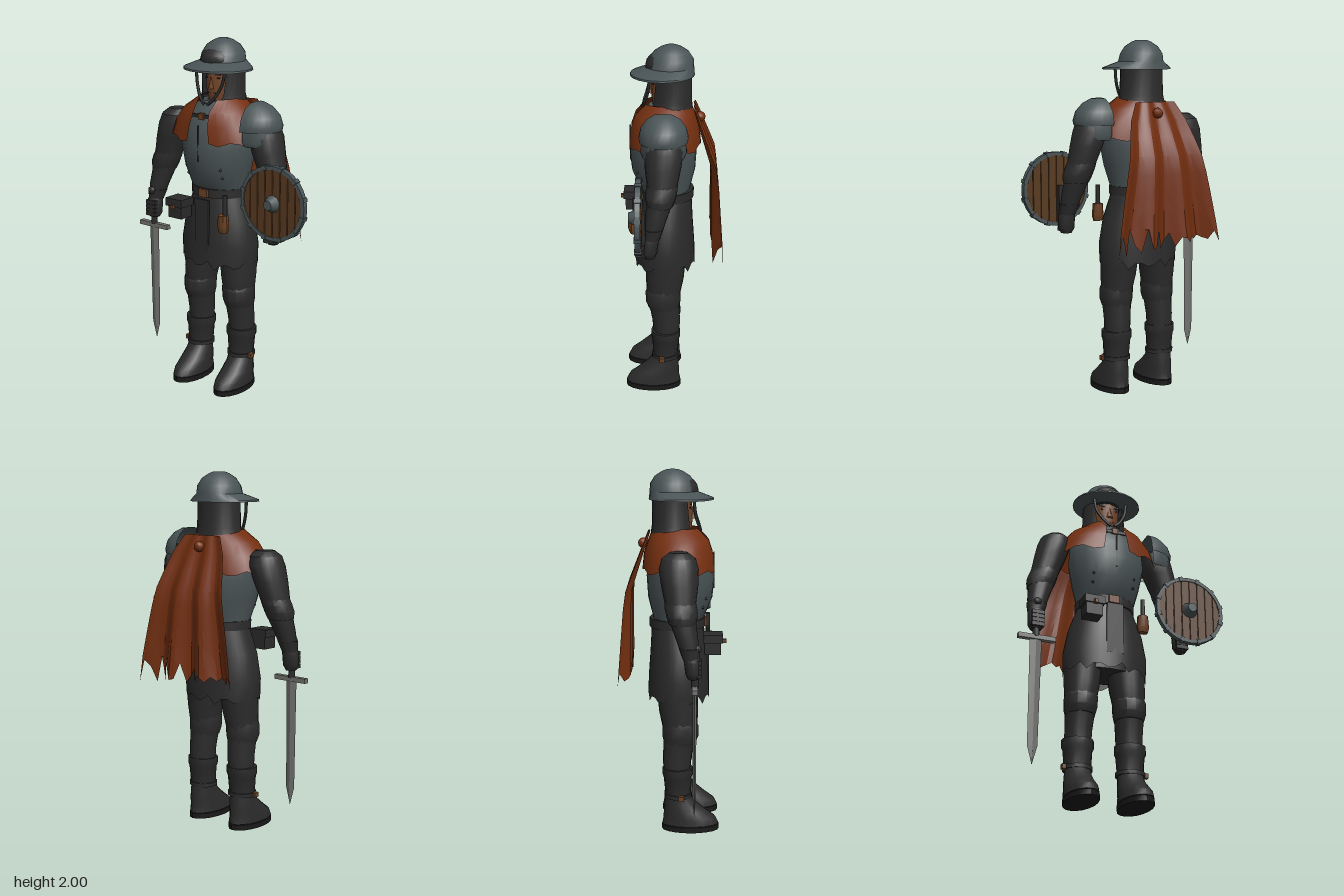
import * as THREE from 'three';
import { toCreasedNormals } from 'three/addons/utils/BufferGeometryUtils.js';

const CX = -0.075; // the body's own centre line

export function createModel() {
  const model = new THREE.Group();
  const mat = (name, color, open) => {
    const m = new THREE.MeshStandardMaterial({ color });
    m.name = name;
    if (open) m.side = THREE.DoubleSide;
    return m;
  };
  const dark = mat('dark leather', 0x2b2b2b, true);
  const sole = mat('black sole', 0x191919);
  const plate = mat('grey plate', 0x4a5456, true);
  const rust = mat('rust cloth', 0x732f10, true);
  const wood = mat('wood', 0x583a20);
  const steel = mat('blade steel', 0x727270);
  const skin = mat('skin', 0x76472a);
  const brown = mat('brown leather', 0x6b4022);

  const add = (name, geo, m, x = 0, y = 0, z = 0, parent = model) => {
    const mesh = new THREE.Mesh(geo, m);
    mesh.name = name;
    mesh.position.set(x, y, z);
    parent.add(mesh);
    return mesh;
  };
  const box = (name, m, w, h, d, x, y, z, parent) =>
    add(name, new THREE.BoxGeometry(w, h, d), m, x, y, z, parent);

  // Skin over elliptical rings [y, x, z, rx, rz, frontGap], lowest first.
  // Angle 0 is the front, growing towards +x. hem(j) shifts the lowest ring.
  function loft(rings, { n = 18, a0 = 0, a1 = Math.PI * 2, cap = true, crease = 0.6, hem = () => 0 } = {}) {
    const pos = [], idx = [], w = n + 1;
    rings.forEach(([y, x, z, rx, rz, gap = 0], i) => {
      for (let j = 0; j <= n; j++) {
        const a = a0 + gap + ((a1 - a0 - 2 * gap) * j) / n;
        pos.push(x + rx * Math.sin(a), y + (i ? 0 : hem(j)), z + rz * Math.cos(a));
      }
    });
    const top = rings.length - 1;
    for (let i = 0; i < top; i++) for (let j = 0; j < n; j++) {
      const a = i * w + j, d = a + w;
      idx.push(a, a + 1, d + 1, a, d + 1, d);
    }
    if (cap) for (const i of [0, top]) {
      const c = pos.length / 3;
      pos.push(rings[i][1], rings[i][0], rings[i][2]);
      for (let j = 0; j < n; j++) {
        const a = i * w + j;
        if (i) idx.push(a, a + 1, c); else idx.push(a + 1, a, c);
      }
    }
    const g = new THREE.BufferGeometry();
    g.setAttribute('position', new THREE.Float32BufferAttribute(pos, 3));
    g.setIndex(idx);
    return toCreasedNormals(g, crease);
  }

  // Kettle helmet with the padded cap showing through the dome
  add('helmet', loft([[1.838, CX, 0.043, 0.2, 0.178], [1.848, CX, 0.043, 0.198, 0.176], [1.882, CX, 0, 0.126, 0.13],
    [1.925, CX, -0.005, 0.118, 0.122], [1.965, CX, -0.005, 0.092, 0.096], [1.99, CX, -0.005, 0.055, 0.057],
    [2, CX, -0.005, 0.03, 0.03]], { n: 24 }), plate);
  add('helmetLining', new THREE.SphereGeometry(1, 14, 10), dark, CX, 1.89, 0.005).scale.set(0.114, 0.088, 0.134);

  // Head and face
  add('head', loft([[1.64, CX, 0.01, 0.06, 0.07], [1.68, CX, 0.02, 0.06, 0.08], [1.74, CX, 0.01, 0.08, 0.095],
    [1.86, CX, 0, 0.088, 0.1]]), skin);
  const nose = add('nose', new THREE.ConeGeometry(0.02, 0.07, 4), skin, CX, 1.77, 0.107);
  nose.scale.z = 0.9;
  box('mouth', dark, 0.05, 0.006, 0.008, CX, 1.712, 0.097);
  for (const s of [-1, 1]) {
    box('brow', dark, 0.045, 0.01, 0.008, CX + s * 0.036, 1.815, 0.094).rotation.z = s * 0.15;
    box('eye', sole, 0.026, 0.009, 0.008, CX + s * 0.034, 1.795, 0.092);
    const strap = new THREE.CatmullRomCurve3([[0.1, 1.85, 0.11], [0.085, 1.76, 0.12], [0.04, 1.68, 0.145], [0.01, 1.655, 0.15]]
      .map(([x, y, z]) => new THREE.Vector3(CX + s * x, y, z)));
    add('chinStrap', new THREE.TubeGeometry(strap, 10, 0.009, 5), dark);
  }
  add('coif', loft([[1.65, CX, -0.005, 0.14, 0.12, 0.35], [1.7, CX, -0.005, 0.127, 0.113, 0.6],
    [1.86, CX, -0.005, 0.122, 0.113, 0.8]], { cap: false }), dark);
  add('neckGuard', loft([[1.6, CX, 0.03, 0.11, 0.12], [1.67, CX, 0.02, 0.075, 0.09]]), dark);

  // Breastplate, with seam, rivets and collar clasp
  add('breastplate', loft([[1.16, CX, 0.02, 0.165, 0.125], [1.2, CX, 0.03, 0.17, 0.145], [1.3, CX, 0.038, 0.195, 0.178],
    [1.42, CX, 0.04, 0.22, 0.188], [1.52, CX, 0.035, 0.215, 0.175], [1.61, CX, 0.03, 0.19, 0.145], [1.67, CX, 0.02, 0.1, 0.1]],
  { n: 22 }), plate);
  box('breastSeam', dark, 0.006, 0.2, 0.008, CX, 1.45, 0.223);
  for (const s of [-1, 1]) for (const y of [1.26, 1.31])
    add('rivet', new THREE.SphereGeometry(0.008, 6, 5), dark, CX + s * 0.12, y, y < 1.3 ? 0.162 : 0.178);
  box('collarClasp', brown, 0.035, 0.035, 0.02, CX, 1.595, 0.188);
  box('claspStrap', dark, 0.14, 0.018, 0.012, CX, 1.595, 0.182);

  // Shoulder mantle, open at the front
  add('mantle', loft([[1.46, CX, 0.03, 0.305, 0.202, 0.25], [1.55, CX, 0.03, 0.27, 0.192, 0.23],
    [1.62, CX, 0.03, 0.215, 0.168, 0.25], [1.685, CX, 0.02, 0.12, 0.132, 0.55]],
  { n: 28, cap: false, hem: j => -0.014 * Math.sin(j * 1.9) }), rust);

  // Cape falling in folds to a ragged hem
  const cape = new THREE.PlaneGeometry(2, 1, 24, 8);
  const cp = cape.attributes.position;
  const mix = THREE.MathUtils.lerp;
  for (let i = 0; i < cp.count; i++) {
    const u = cp.getX(i), t = 0.5 - cp.getY(i), k = i % 25;
    const width = 0.13 + 0.21 * Math.pow(t, 0.65);
    const jag = t === 1 ? 0.045 * Math.sin(k * 2.3) + 0.03 * (k % 3) - 0.01 : 0;
    const base = t < 0.4 ? mix(0.135, 0.245, t / 0.4) : mix(0.245, 0.262, (t - 0.4) / 0.6);
    const fold = (0.006 + 0.027 * t) * -Math.cos(3 * Math.PI * u);
    cp.setXYZ(i, CX + u * width, mix(1.66, 0.88, t) + jag, -base - fold);
  }
  add('cape', toCreasedNormals(cape, 0.35), rust);
  add('capeKnot', new THREE.SphereGeometry(0.03, 8, 6), rust, CX, 1.6, -0.165);

  // Belt, pouches and dagger
  add('belt', loft([[1.138, CX, 0.022, 0.172, 0.155], [1.188, CX, 0.022, 0.172, 0.155]]), dark);
  box('buckle', brown, 0.06, 0.045, 0.018, CX, 1.163, 0.178);
  box('pouch', dark, 0.095, 0.1, 0.09, -0.217, 1.06, 0.215);
  box('pouchFlap', dark, 0.115, 0.045, 0.105, -0.217, 1.1, 0.218);
  box('pouchLatch', brown, 0.018, 0.022, 0.022, -0.217, 1.08, 0.279);
  add('sheath', loft([[0.97, 0.085, 0.205, 0.028, 0.02], [1.0, 0.085, 0.205, 0.036, 0.03], [1.07, 0.085, 0.205, 0.03, 0.03]], { n: 10 }), brown);
  add('daggerGrip', new THREE.CylinderGeometry(0.013, 0.013, 0.12, 8), dark, 0.09, 1.12, 0.195);

  // Ragged tunic skirt and front flap
  add('tunicSkirt', loft([[0.745, CX, 0.03, 0.236, 0.172], [0.86, CX, 0.03, 0.242, 0.168], [1.0, CX, 0.03, 0.215, 0.158],
    [1.15, CX, 0.02, 0.163, 0.14]], { n: 36, cap: false, hem: j => (j % 36) ? 0.02 * Math.sin(j * 2.1) + 0.012 * (j % 2) : 0 }), dark);
  box('frontFlap', dark, 0.095, 0.3, 0.012, CX, 0.98, 0.192);
  add('hips', loft([[0.76, CX, 0.02, 0.2, 0.12], [1.12, CX, 0.02, 0.15, 0.11]]), dark);

  // Legs, boots and shoulders-to-fist arms, mirrored about the body
  for (const s of [-1, 1]) {
    const X = d => CX + s * d;
    add('leg', loft([[0.15, X(0.15), 0.03, 0.065, 0.065], [0.3, X(0.148), 0.02, 0.072, 0.072], [0.42, X(0.146), 0.022, 0.075, 0.08],
      [0.5, X(0.143), 0.032, 0.08, 0.085], [0.58, X(0.141), 0.038, 0.086, 0.095], [0.68, X(0.133), 0.03, 0.098, 0.108],
      [0.85, X(0.125), 0.02, 0.11, 0.115]]), dark);
    add('kneeGuard', loft([[0.5, X(0.142), 0.036, 0.082, 0.088], [0.54, X(0.142), 0.04, 0.092, 0.1],
      [0.6, X(0.14), 0.04, 0.094, 0.1], [0.63, X(0.138), 0.035, 0.088, 0.09]], { n: 12 }), dark);
    add('greave', loft([[0.19, X(0.15), 0.028, 0.072, 0.07], [0.3, X(0.15), 0.025, 0.08, 0.078], [0.318, X(0.15), 0.025, 0.088, 0.084],
      [0.36, X(0.15), 0.025, 0.088, 0.084]], { n: 14 }), dark);
    add('ankleStrap', loft([[0.19, X(0.15), 0.028, 0.082, 0.078], [0.212, X(0.15), 0.028, 0.082, 0.078]]), dark);
    box('ankleBuckle', brown, 0.02, 0.026, 0.03, X(0.234), 0.201, 0.045);
    add('boot', loft([[0.034, X(0.152), 0.097, 0.086, 0.158], [0.07, X(0.152), 0.092, 0.084, 0.146], [0.11, X(0.152), 0.065, 0.08, 0.118],
      [0.155, X(0.151), 0.04, 0.073, 0.088], [0.2, X(0.15), 0.028, 0.07, 0.07]]), dark);
    add('sole', loft([[0, X(0.152), 0.097, 0.087, 0.16], [0.03, X(0.152), 0.097, 0.087, 0.16]]), sole);

    add('arm', loft([[1.06, X(0.425), 0.09, 0.045, 0.046], [1.14, X(0.412), 0.075, 0.058, 0.058], [1.24, X(0.39), 0.05, 0.072, 0.07],
      [1.3, X(0.375), 0.04, 0.077, 0.078], [1.42, X(0.34), 0.035, 0.09, 0.098], [1.5, X(0.318), 0.03, 0.095, 0.105],
      [1.555, X(0.308), 0.03, 0.085, 0.09], [1.585, X(0.3), 0.03, 0.055, 0.05]], { n: 16 }), dark);
    add('elbowGuard', loft([[1.22, X(0.398), 0.05, 0.072, 0.07], [1.26, X(0.39), 0.048, 0.083, 0.082],
      [1.3, X(0.377), 0.042, 0.083, 0.085], [1.33, X(0.367), 0.038, 0.08, 0.083]], { n: 12 }), dark);
    add('gloveCuff', loft([[1.04, X(0.428), 0.095, 0.044, 0.044], [1.1, X(0.42), 0.085, 0.058, 0.055]], { n: 12 }), dark);
    add('fist', loft([[0.935, X(0.428), 0.108, 0.03, 0.03], [0.96, X(0.428), 0.108, 0.045, 0.042],
      [1.03, X(0.428), 0.102, 0.047, 0.045], [1.06, X(0.426), 0.096, 0.04, 0.04]], { n: 12 }), dark);
    for (let f = 0; f < 4; f++) box('finger', dark, 0.07, 0.021, 0.035, X(0.425), 0.955 + f * 0.024, 0.132);
  }

  // Layered pauldron on the left shoulder
  const half = { n: 14, a0: -0.05, a1: Math.PI + 0.05, cap: false };
  add('pauldronCap', loft([[1.535, 0.175, 0.033, 0.152, 0.132], [1.56, 0.175, 0.033, 0.158, 0.134], [1.61, 0.175, 0.033, 0.142, 0.122],
    [1.655, 0.175, 0.033, 0.1, 0.09], [1.68, 0.175, 0.033, 0.05, 0.05], [1.685, 0.175, 0.033, 0, 0]], half), plate);
  add('pauldronLame', loft([[1.455, 0.19, 0.033, 0.135, 0.115], [1.48, 0.185, 0.033, 0.15, 0.125],
    [1.55, 0.18, 0.033, 0.14, 0.12]], half), plate);

  // Round shield: planks, segmented rim and boss
  const shield = new THREE.Group();
  shield.name = 'shield';
  shield.position.set(0.39, 1.18, 0.15);
  model.add(shield);
  const R = 0.195, count = 8, pitch = (2 * R) / count;
  for (let i = 0; i < count; i++) {
    const a = -R + i * pitch + 0.0025, b = a + pitch - 0.005;
    const h = x => Math.sqrt(Math.max(R * R - x * x, 0.0004));
    const s = new THREE.Shape([[a, -h(a)], [b, -h(b)], [b, h(b)], [a, h(a)]].map(p => new THREE.Vector2(...p)));
    add('plank', new THREE.ExtrudeGeometry(s, { depth: 0.022, bevelEnabled: false }), wood, 0, 0, 0, shield);
  }
  add('shieldCore', new THREE.CylinderGeometry(0.19, 0.19, 0.008, 24), dark, 0, 0, 0.011, shield).rotation.x = Math.PI / 2;
  const ring = new THREE.Shape().absarc(0, 0, 0.206, 0, Math.PI * 2);
  ring.holes.push(new THREE.Path().absarc(0, 0, 0.186, 0, Math.PI * 2, true));
  add('shieldRim', new THREE.ExtrudeGeometry(ring, { depth: 0.03, bevelEnabled: false, curveSegments: 24 }), plate, 0, 0, -0.003, shield);
  for (let i = 0; i < 12; i++) {
    const a = (i + 0.5) * Math.PI / 6;
    box('rimClip', plate, 0.028, 0.022, 0.038, 0.197 * Math.cos(a), 0.197 * Math.sin(a), 0.012, shield).rotation.z = a;
  }
  add('shieldBoss', new THREE.CylinderGeometry(0.027, 0.048, 0.046, 10), plate, 0, 0, 0.044, shield).rotation.x = Math.PI / 2;
  box('shieldGrip', dark, 0.03, 0.16, 0.02, -0.02, -0.06, -0.012, shield);

  // Sword held point down
  const SX = -0.502, SZ = 0.115;
  add('blade', loft([[0.17, SX, SZ, 0.001, 0.001], [0.27, SX, SZ, 0.028, 0.008], [0.88, SX, SZ, 0.034, 0.011]], { n: 4, crease: 0.1 }), steel);
  box('crossguard', steel, 0.21, 0.026, 0.03, SX + 0.004, 0.885, SZ);
  add('swordGrip', new THREE.CylinderGeometry(0.019, 0.019, 0.2, 10), dark, SX, 0.99, SZ);
  add('pommel', new THREE.SphereGeometry(0.025, 10, 8), dark, SX, 1.095, SZ + 0.01);

  return model;
}
